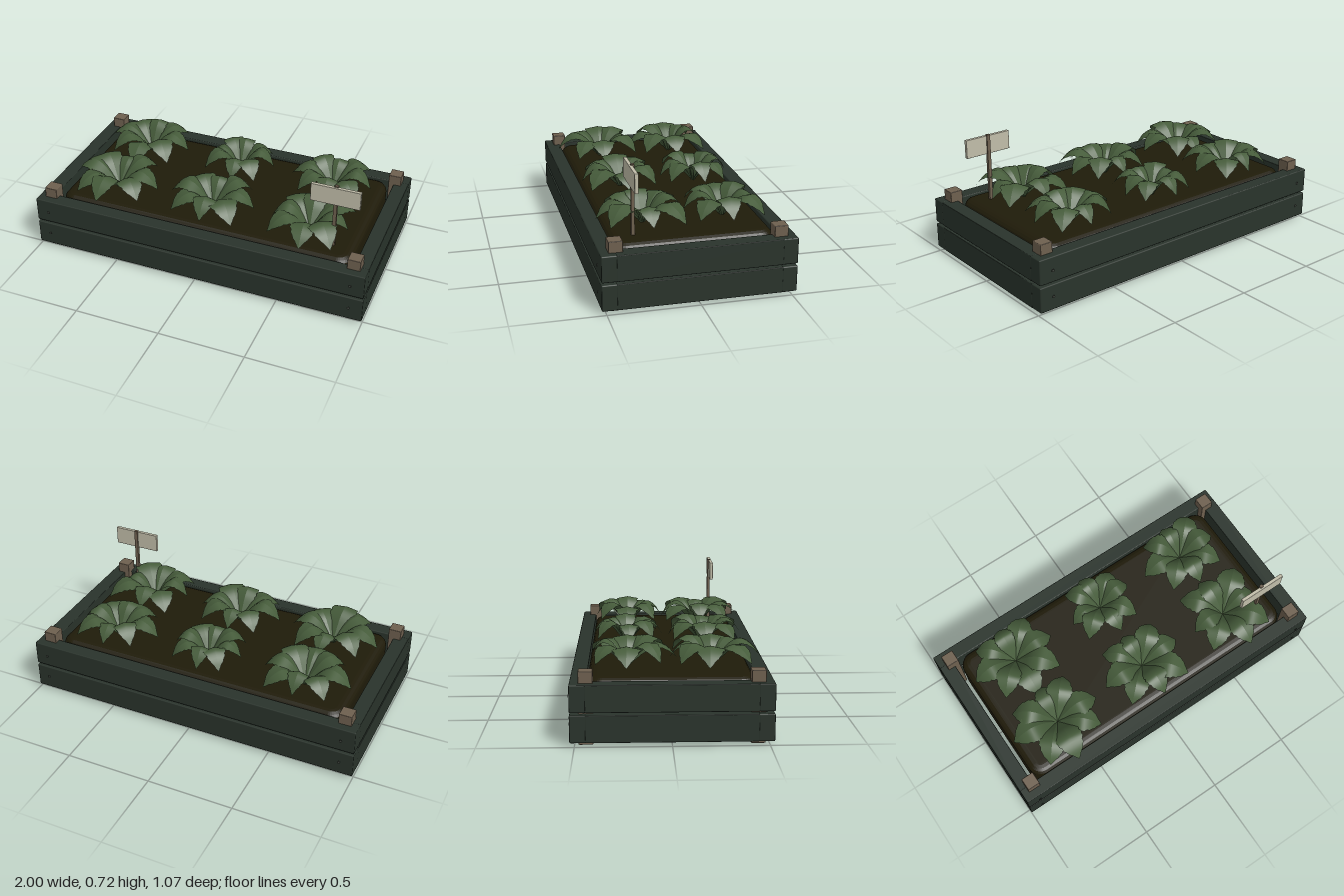
import * as THREE from 'three';
import { RoundedBoxGeometry } from 'three/addons/geometries/RoundedBoxGeometry.js';

const mat = (name, color, side = THREE.FrontSide) => {
  const m = new THREE.MeshStandardMaterial({ color, side });
  m.name = name;
  return m;
};

// Leaf: ribs swept along an arching spine, folded at the midrib, with toothed edges
function leafGeometry(reach, lift) {
  const spine = new THREE.CatmullRomCurve3([
    [0, 0], [0.18, 0.065], [0.38, 0.125], [0.58, 0.147], [0.8, 0.118], [1, 0.052],
  ].map(([r, y]) => new THREE.Vector3(r * reach, y * lift, 0)));
  const widths = [0.008, 0.038, 0.064, 0.07, 0.048, 0];
  const rows = 20, pos = [], index = [];
  for (const side of [-1, 1]) {
    const start = pos.length / 3;
    for (let i = 0; i <= rows; i++) {
      const t = i / rows, p = spine.getPoint(t);
      const k = Math.min(Math.floor(t * 5), 4);
      let w = THREE.MathUtils.lerp(widths[k], widths[k + 1], t * 5 - k) * reach / 0.25;
      if (i % 2 && i > 6) w *= 1.1;
      pos.push(p.x, p.y, 0, p.x + w * 0.08, p.y - w * 0.2, side * w);
    }
    for (let i = 0; i < rows; i++) {
      const a = start + i * 2, b = a + 1, c = a + 2, d = a + 3;
      if (side > 0) index.push(a, b, c, b, d, c);
      else index.push(a, c, b, b, c, d);
    }
  }
  const g = new THREE.BufferGeometry();
  g.setAttribute('position', new THREE.Float32BufferAttribute(pos, 3));
  g.setIndex(index);
  g.computeVertexNormals();
  return g;
}

// Soil: round-cornered slab with bevelled rims, standing on y = 0
function soilGeometry(halfX, halfZ, height, bevel, rim, r) {
  const x = halfX - bevel, z = halfZ - bevel;
  const s = new THREE.Shape();
  s.absarc(x - r, z - r, r, 0, Math.PI / 2);
  s.absarc(r - x, z - r, r, Math.PI / 2, Math.PI);
  s.absarc(r - x, r - z, r, Math.PI, Math.PI * 1.5);
  s.absarc(x - r, r - z, r, Math.PI * 1.5, Math.PI * 2);
  s.closePath();
  return new THREE.ExtrudeGeometry(s, {
    depth: height - 2 * rim, bevelSize: bevel, bevelThickness: rim, bevelSegments: 4, curveSegments: 4,
  }).rotateX(-Math.PI / 2).translate(0, rim, 0);
}

export function createModel() {
  const model = new THREE.Group();
  model.name = 'planterBed';
  const paint = mat('dark green paint', 0x29332b);
  const wood = mat('brown wood', 0x6e604f);
  const earth = mat('soil', 0x1f1b09);
  const foliage = mat('leaf green', 0x465c3b, THREE.DoubleSide);
  const board = mat('pale board', 0xc1bda9);
  const metal = mat('dark metal', 0x41463f);

  const add = (name, geometry, material, x, y, z, parent = model) => {
    const m = new THREE.Mesh(geometry, material);
    m.name = name;
    m.position.set(x, y, z);
    parent.add(m);
    return m;
  };

  // Two courses of planks
  const longPlank = new RoundedBoxGeometry(2, 0.145, 0.085, 1, 0.006);
  const endPlank = new RoundedBoxGeometry(0.085, 0.145, 0.89, 1, 0.004);
  for (const y of [0.0935, 0.252]) {
    for (const s of [-1, 1]) {
      add('longPlank', longPlank, paint, 0, y, s * 0.4825);
      add('endPlank', endPlank, paint, s * 0.9575, y, 0);
    }
  }

  // Corner posts and the screw heads on the long planks
  const post = new RoundedBoxGeometry(0.075, 0.385, 0.075, 1, 0.004);
  const screw = new THREE.CylinderGeometry(0.008, 0.008, 0.003, 10).rotateX(Math.PI / 2);
  for (const x of [-1, 1]) {
    for (const z of [-1, 1]) {
      add('cornerPost', post, wood, x * 0.922, 0.1925, z * 0.442);
      for (const y of [0.1, 0.25]) add('screw', screw, metal, x * 0.922, y, z * 0.532);
    }
  }

  // Soil block
  add('soil', soilGeometry(0.885, 0.438, 0.293, 0.05, 0.04, 0.03), earth, 0, 0.035, 0);

  // Plants: x, z, then leaf reach clockwise from the right, seen from above
  const plants = [
    [-0.6, -0.23, [0.25, 0.27, 0.27, 0.25, 0.27, 0.24, 0.2, 0.26]],
    [0, -0.23, [0.21, 0.23, 0.21, 0.23, 0.2, 0.22, 0.2, 0.22]],
    [0.59, -0.23, [0.23, 0.25, 0.22, 0.24, 0.26, 0.23, 0.2, 0.26]],
    [-0.6, 0.22, [0.26, 0.26, 0.27, 0.27, 0.28, 0.26, 0.22, 0.26]],
    [0, 0.215, [0.25, 0.28, 0.23, 0.26, 0.26, 0.24, 0.2, 0.25]],
    [0.59, 0.22, [0.22, 0.28, 0.26, 0.26, 0.22, 0.27, 0.23, 0.29]],
  ];
  plants.forEach(([x, z, reaches], n) => {
    const plant = new THREE.Group();
    plant.name = 'plant';
    plant.position.set(x, 0.325, z);
    reaches.forEach((reach, i) => {
      const lift = 0.98 + 0.07 * Math.sin(i * 2.4 + n);
      const leaf = add('leaf', leafGeometry(reach, lift), foliage, 0, 0, 0, plant);
      leaf.rotation.y = -i * Math.PI / 4 + 0.08 * Math.sin(i * 3.1 + n * 1.7);
    });
    model.add(plant);
  });

  // Marker sign
  add('signStake', new THREE.BoxGeometry(0.02, 0.416, 0.018), wood, 0.755, 0.51, 0.309);
  add('signBoard', new RoundedBoxGeometry(0.28, 0.108, 0.02, 1, 0.002), board, 0.755, 0.658, 0.318);

  return model;
}
